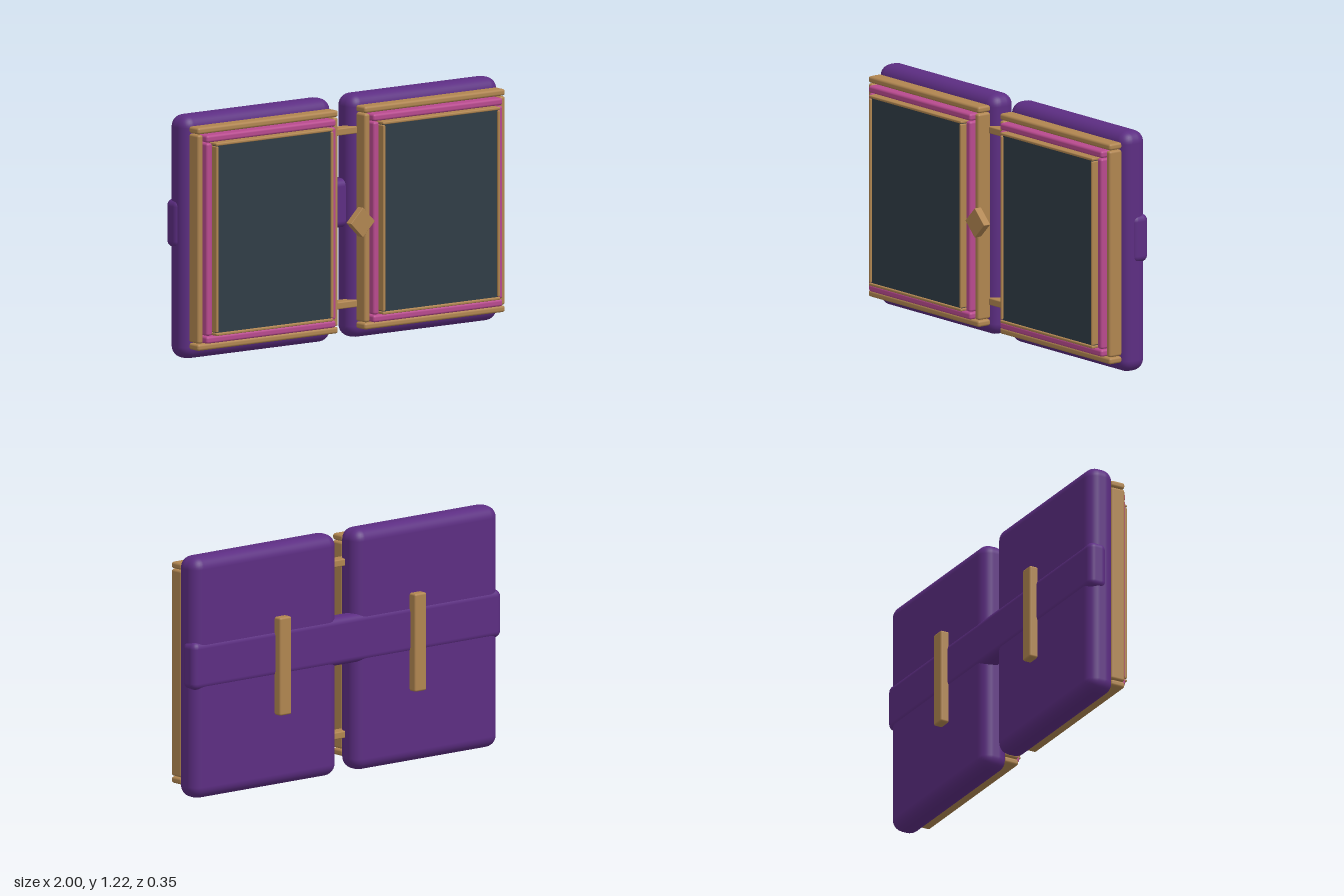
import * as THREE from 'three';
import { RoundedBoxGeometry } from 'three/addons/geometries/RoundedBoxGeometry.js';

const mat = (color) => new THREE.MeshStandardMaterial({ color });
const purple = mat(0x5c2d82);
const gold = mat(0xb08550);
const pink = mat(0xb84a8e);
const slate = mat(0x303c46);

// Rounded block given by its extents on each axis
function block(name, material, [x0, x1], [y0, y1], [z0, z1], radius, segments = 3) {
  const geometry = new RoundedBoxGeometry(x1 - x0, y1 - y0, z1 - z0, segments, radius);
  const mesh = new THREE.Mesh(geometry, material);
  mesh.name = name;
  mesh.position.set((x0 + x1) / 2, (y0 + y1) / 2, (z0 + z1) / 2);
  return mesh;
}

// Four bars around an opening: full-width rails, stiles fitted between them
function frame(name, material, [x0, x1], [y0, y1], z, width, radius) {
  const group = new THREE.Group();
  group.name = name;
  const gap = 0.003;
  for (const y of [y0, y1 - width]) {
    group.add(block(name + 'Rail', material, [x0, x1], [y, y + width], z, radius));
  }
  for (const x of [x0, x1 - width]) {
    group.add(block(name + 'Stile', material, [x, x + width], [y0 + width + gap, y1 - width - gap], z, radius));
  }
  return group;
}

// One padded panel with its nested frames, screen and back bar
function createPanel(side) {
  const panel = new THREE.Group();
  panel.name = side > 0 ? 'leftPanel' : 'rightPanel';
  const centre = 0.5225;
  const span = (half) => [centre - half, centre + half];
  panel.add(
    block('backing', purple, span(0.4675), [0, 1.22], [-0.132, 0.015], 0.06, 4),
    frame('outerFrame', gold, span(0.44), [0.054, 1.172], [0.008, 0.086], 0.033, 0.012),
    frame('middleFrame', pink, span(0.405), [0.09, 1.134], [0.01, 0.112], 0.036, 0.012),
    frame('innerFrame', gold, span(0.367), [0.13, 1.096], [0.06, 0.14], 0.014, 0.005),
    block('screen', slate, span(0.36), [0.138, 1.088], [0.01, 0.13], 0.004, 1),
    block('backBar', gold, [0.4, 0.475], [0.365, 0.86], [-0.175, -0.12], 0.01),
  );
  // All parts but the back bar are symmetric, so mirror by position
  for (const part of panel.children) {
    if (part.isMesh) part.position.x *= side;
    else part.position.x = side > 0 ? 0 : -2 * centre;
  }
  return panel;
}

export function createModel() {
  const model = new THREE.Group();
  model.name = 'foldingPanels';
  model.add(createPanel(1), createPanel(-1));

  // Strap running behind both panels
  model.add(block('strap', purple, [-1, 1], [0.553, 0.797], [-0.137, -0.035], 0.035));

  // Hinge bars joining the panels
  for (const y of [0.178, 1.048]) {
    model.add(block('hinge', gold, [-0.09, 0.09], [y - 0.018, y + 0.018], [-0.045, 0.02], 0.006));
  }

  // Diamond clasp
  const clasp = block('clasp', gold, [-0.053, 0.053], [0.56, 0.666], [0.136, 0.176], 0.002, 1);
  clasp.rotation.z = Math.PI / 4;
  model.add(clasp);
  return model;
}
